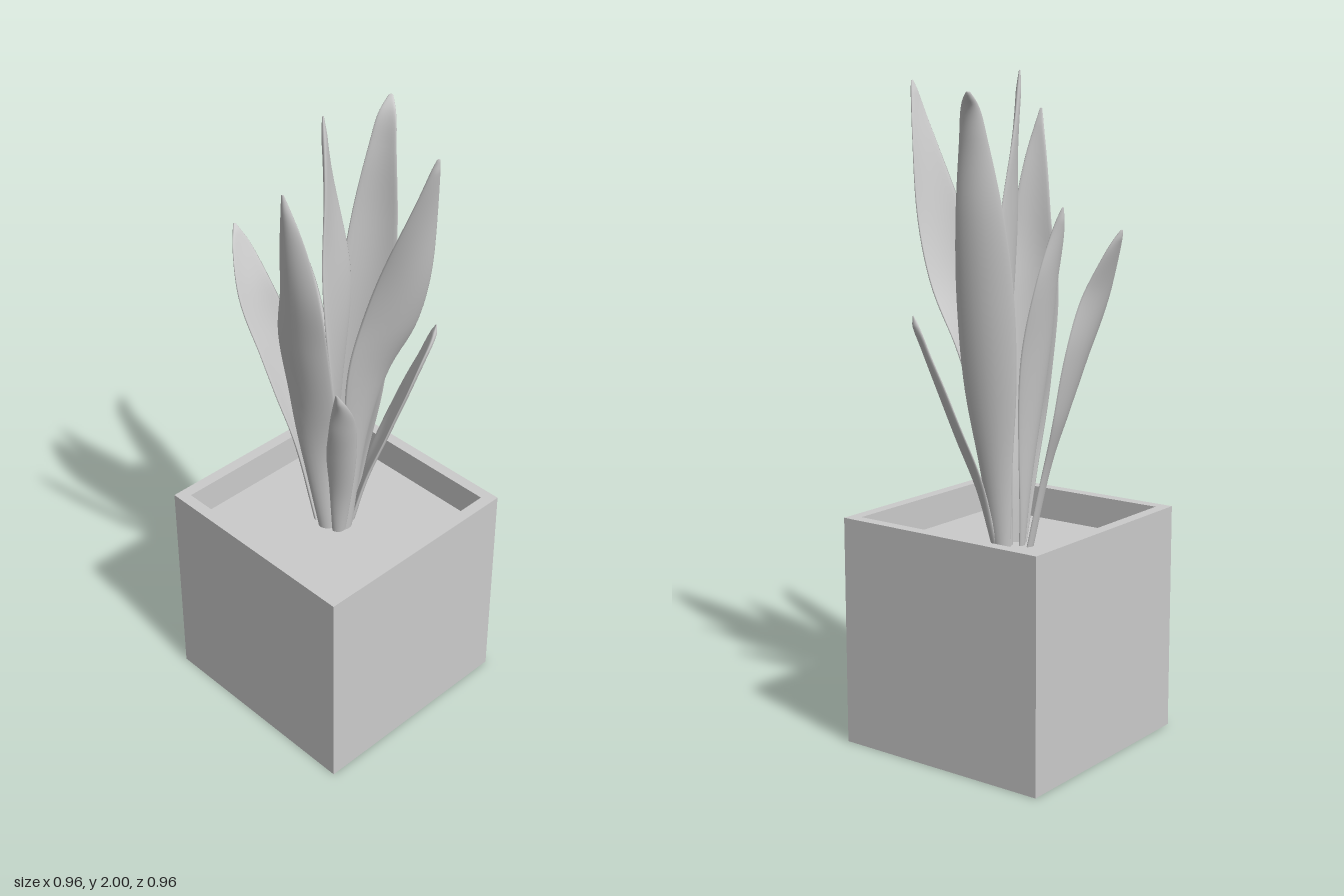
import * as THREE from 'three';

const grey = new THREE.MeshStandardMaterial({ color: 0xcccccc });
const flatGrey = new THREE.MeshStandardMaterial({ color: 0xcccccc, flatShading: true });

// Four-sided lathe, turned so the square sits 30 degrees off the axes
function squareLathe(name, profile) {
  const points = profile.map(([r, y]) => new THREE.Vector2(r, y));
  const mesh = new THREE.Mesh(new THREE.LatheGeometry(points, 4, Math.PI / 12), flatGrey);
  mesh.name = name;
  return mesh;
}

// Leaf blade: stations are [x, y, z, half width, direction of width in degrees]
function leaf(name, stations, { cup = 0.25, wave = 0.12, phase = 0 } = {}) {
  const rows = 44, sides = 20, thick = 0.008;
  const spine = new THREE.CatmullRomCurve3(stations.map(([x, y, z]) => new THREE.Vector3(x, y, z)));
  const shape = new THREE.CatmullRomCurve3(stations.map(([, y, , w, a]) => new THREE.Vector3(w, a / 100, y)));
  const pos = [], index = [];
  for (let j = 0; j <= rows; j++) {
    const s = j / rows;
    const c = spine.getPoint(s), t = spine.getTangent(s), q = shape.getPoint(s);
    const w = Math.max(q.x, 0.003), a = THREE.MathUtils.degToRad(q.y * 100);
    const across = new THREE.Vector3(Math.cos(a), 0, Math.sin(a));
    across.addScaledVector(t, -across.dot(t)).normalize();
    const normal = new THREE.Vector3().crossVectors(t, across);
    const half = Math.min(thick, w * 0.6);
    for (let i = 0; i < sides; i++) {
      const th = (i / sides) * Math.PI * 2, u = Math.cos(th);
      const lift = half * Math.sin(th) + w * (cup * (u * u - 0.3) + wave * u * Math.sin(9 * s + phase));
      const p = c.clone().addScaledVector(across, u * w).addScaledVector(normal, lift);
      pos.push(p.x, p.y, p.z);
      if (j < rows) {
        const k = (i + 1) % sides, b = j * sides, d = b + sides;
        index.push(b + i, b + k, d + k, b + i, d + k, d + i);
      }
    }
  }
  // Close the tip
  const tip = spine.getPoint(1);
  pos.push(tip.x, tip.y + 0.002, tip.z);
  const last = rows * sides;
  for (let i = 0; i < sides; i++) index.push(last + i, last + (i + 1) % sides, last + sides);
  const geo = new THREE.BufferGeometry();
  geo.setAttribute('position', new THREE.Float32BufferAttribute(pos, 3));
  geo.setIndex(index);
  geo.computeVertexNormals();
  const mesh = new THREE.Mesh(geo, grey);
  mesh.name = name;
  return mesh;
}

export function createModel() {
  const model = new THREE.Group();
  model.name = 'pottedPlant';

  // Square planter with a thin rim, and the soil inside it
  model.add(squareLathe('planter', [[0, 0], [0.497, 0], [0.497, 0.7], [0.446, 0.7], [0.446, 0.6]]));
  model.add(squareLathe('soil', [[0.446, 0.6], [0, 0.6]]));

  const leaves = new THREE.Group();
  leaves.name = 'leaves';
  leaves.add(
    leaf('outerRightLeaf', [
      [-0.06, 0.59, -0.01, 0.02, 100], [-0.115, 0.85, -0.02, 0.04, 100], [-0.165, 1.02, -0.045, 0.06, 105],
      [-0.215, 1.2, -0.06, 0.068, 110], [-0.27, 1.38, -0.06, 0.058, 125], [-0.31, 1.5, -0.085, 0.03, 130],
      [-0.33, 1.555, -0.1, 0.004, 130]]),
    leaf('innerRightLeaf', [
      [-0.035, 0.59, 0, 0.02, 100], [-0.06, 0.9, -0.015, 0.05, 110], [-0.09, 1.2, -0.04, 0.065, 120],
      [-0.12, 1.4, -0.055, 0.055, 125], [-0.145, 1.53, -0.065, 0.028, 130], [-0.16, 1.615, -0.075, 0.003, 130]],
      { phase: 2 }),
    leaf('tallFrontLeaf', [
      [-0.02, 0.59, 0.03, 0.025, 0], [-0.035, 0.85, 0.06, 0.045, -5], [-0.045, 1.1, 0.105, 0.072, 5],
      [-0.055, 1.35, 0.165, 0.08, 10], [-0.045, 1.55, 0.22, 0.062, 20], [-0.05, 1.75, 0.26, 0.033, 15],
      [-0.06, 1.89, 0.285, 0.004, 10]], { phase: 1 }),
    leaf('centreLeaf', [
      [0, 0.59, 0, 0.025, 90], [0.005, 0.9, 0.01, 0.05, 85], [0.01, 1.2, 0.03, 0.078, 90],
      [0.01, 1.45, 0.035, 0.082, 95], [0, 1.65, 0.04, 0.06, 100], [-0.012, 1.85, 0.045, 0.03, 95],
      [-0.022, 2, 0.045, 0.004, 90]], { cup: 0.1 }),
    leaf('tallBackLeaf', [
      [0.02, 0.59, -0.04, 0.025, 180], [0.035, 0.85, -0.07, 0.05, 180], [0.05, 1.1, -0.1, 0.08, 185],
      [0.06, 1.35, -0.135, 0.085, 190], [0.07, 1.6, -0.175, 0.068, 190], [0.08, 1.8, -0.2, 0.042, 185],
      [0.085, 1.9, -0.225, 0.025, 180], [0.085, 1.938, -0.258, 0.006, 180]], { phase: 3 }),
    leaf('tallLeftLeaf', [
      [0.04, 0.59, 0.01, 0.025, -65], [0.075, 0.95, 0.02, 0.06, -65], [0.12, 1.2, 0.04, 0.085, -58],
      [0.18, 1.4, 0.065, 0.085, -40], [0.23, 1.6, 0.09, 0.07, -30], [0.275, 1.8, 0.115, 0.042, -38],
      [0.3, 1.92, 0.135, 0.018, -45], [0.31, 1.972, 0.142, 0.004, -45]], { phase: 1 }),
    leaf('shortLeftLeaf', [
      [0.04, 0.59, -0.03, 0.016, -110], [0.085, 0.78, -0.05, 0.028, -110], [0.145, 0.95, -0.08, 0.045, -110],
      [0.2, 1.1, -0.09, 0.045, -115], [0.24, 1.21, -0.1, 0.03, -110], [0.26, 1.27, -0.115, 0.016, -110],
      [0.268, 1.303, -0.118, 0.003, -110]]),
    leaf('shortFrontLeaf', [
      [0.02, 0.59, 0.035, 0.02, -20], [0.035, 0.78, 0.07, 0.034, -15], [0.05, 0.95, 0.115, 0.044, -20],
      [0.065, 1.08, 0.16, 0.04, -20], [0.07, 1.18, 0.2, 0.024, -10], [0.068, 1.255, 0.235, 0.003, -10]],
      { phase: 2 }));
  model.add(leaves);
  return model;
}
